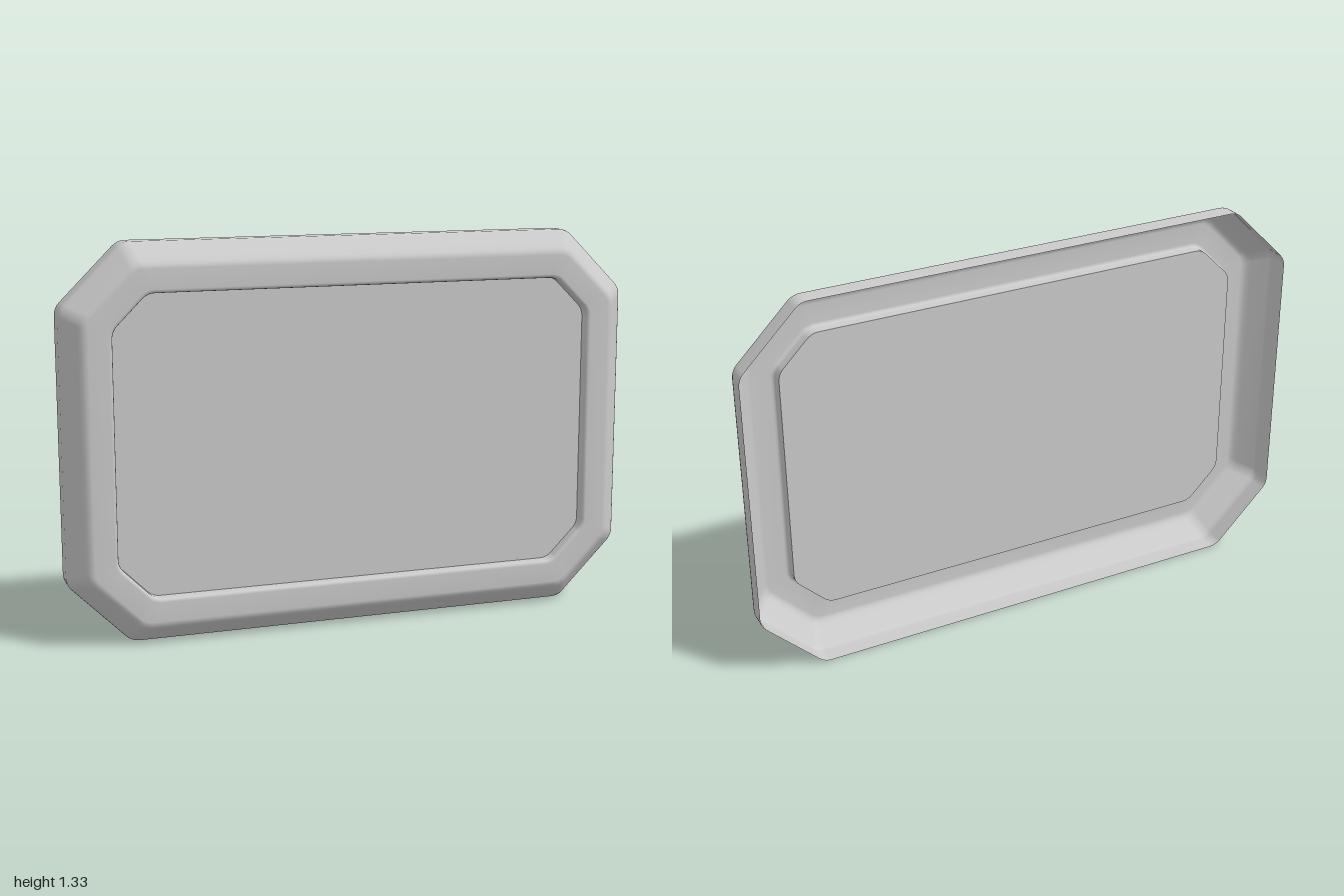
import * as THREE from 'three';

const HALF_W = 1, HALF_H = 0.667, CUT = 0.212, CORNER_R = 0.06, ARC_STEPS = 4;

// Octagon with softened corners, inset by d from the outer edge, counter-clockwise
function outline(d) {
  const w = HALF_W - d, h = HALF_H - d, c = CUT - d * (2 - Math.SQRT2);
  const corners = [
    [w, -h + c], [w, h - c], [w - c, h], [-w + c, h],
    [-w, h - c], [-w, -h + c], [-w + c, -h], [w - c, -h],
  ];
  const points = [];
  corners.forEach(([x, y], i) => {
    const start = (i - 1) * Math.PI / 4; // normal of the side before this corner
    const mid = start + Math.PI / 8;
    const reach = CORNER_R / Math.cos(Math.PI / 8);
    const cx = x - reach * Math.cos(mid), cy = y - reach * Math.sin(mid);
    for (let k = 0; k <= ARC_STEPS; k++) {
      const a = start + (Math.PI / 4) * k / ARC_STEPS;
      points.push(new THREE.Vector2(cx + CORNER_R * Math.cos(a), cy + CORNER_R * Math.sin(a)));
    }
  });
  return points;
}

// Sweeps a profile of [inset, z] pairs around the outline
function sweep(profile) {
  const positions = [], index = [];
  const n = outline(0).length;
  profile.forEach(([d, z]) => outline(d).forEach(p => positions.push(p.x, p.y + HALF_H, z)));
  for (let i = 0; i < profile.length - 1; i++) {
    for (let j = 0; j < n; j++) {
      const a = i * n + j, b = i * n + (j + 1) % n;
      index.push(a, b, b + n, a, b + n, a + n);
    }
  }
  const geometry = new THREE.BufferGeometry();
  geometry.setAttribute('position', new THREE.Float32BufferAttribute(positions, 3));
  geometry.setIndex(index);
  geometry.computeVertexNormals();
  return geometry;
}

export function createModel() {
  const group = new THREE.Group();
  group.name = 'framedPanel';
  const material = new THREE.MeshStandardMaterial({ color: 0xcccccc, side: THREE.DoubleSide });

  // Thin hollow frame: side wall, bevel, front face and rolled lip, open at the back
  const frame = new THREE.Mesh(sweep([
    [0, -0.073], [0, -0.014], [0.002, -0.003], [0.008, 0.007],
    [0.05, 0.052], [0.06, 0.062], [0.07, 0.069], [0.082, 0.072],
    [0.148, 0.072], [0.155, 0.07], [0.159, 0.066], [0.161, 0.059], [0.161, 0.03],
  ]), material);
  frame.name = 'frame';
  group.add(frame);

  // Recessed flat panel closing the opening
  const panel = new THREE.Mesh(new THREE.ShapeGeometry(new THREE.Shape(outline(0.161))), material);
  panel.name = 'panel';
  panel.position.set(0, HALF_H, 0.03);
  group.add(panel);

  return group;
}
